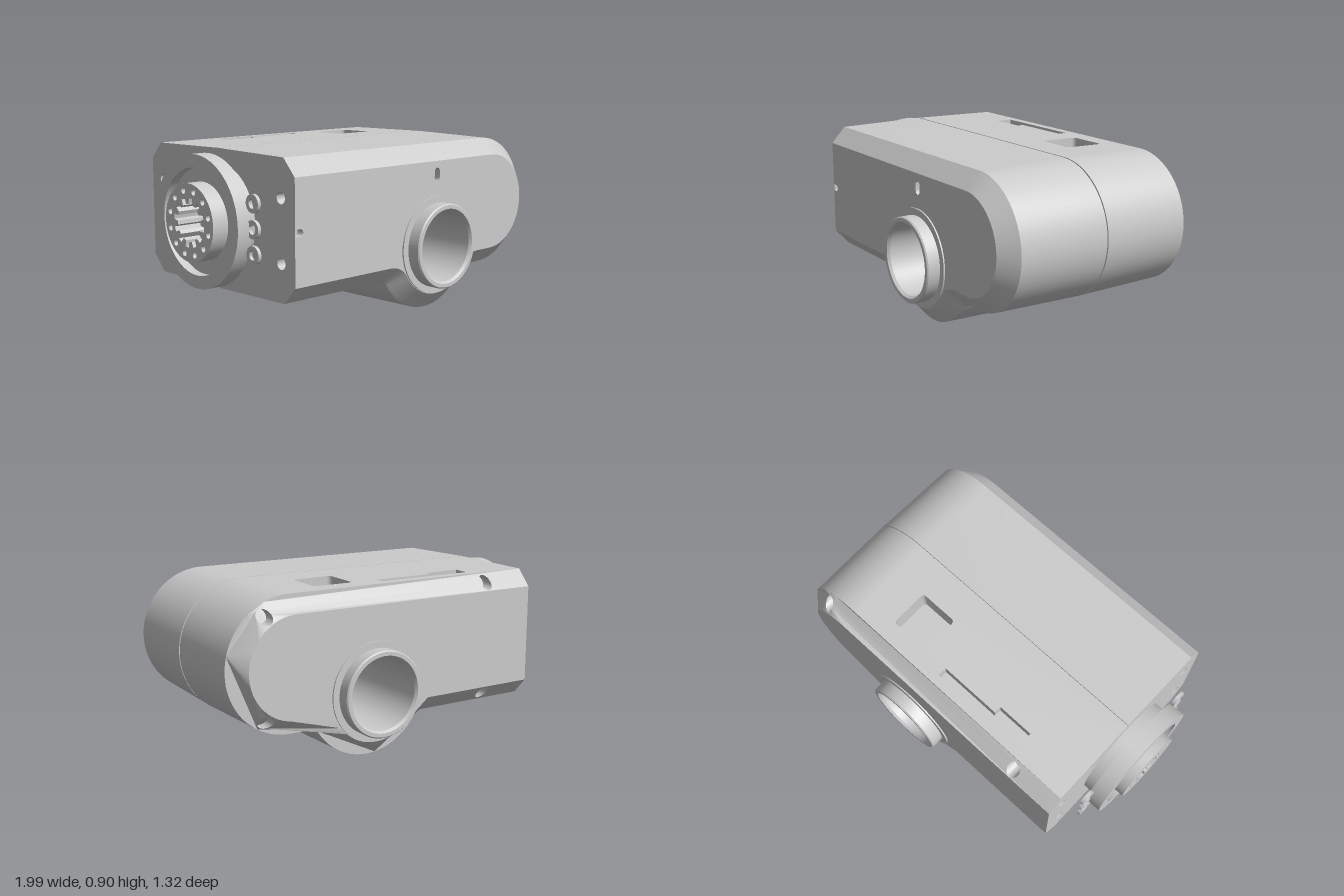
import * as THREE from 'three';
import { toCreasedNormals } from 'three/addons/utils/BufferGeometryUtils.js';

const material = new THREE.MeshStandardMaterial({ color: 0xcccccc, side: THREE.DoubleSide });
const V2 = (x, y) => new THREE.Vector2(x, y);
const LEFT = -0.815, INSET = 0.095, DRAFT = 0.008;
const AXIS_Y = 0.548, END_X = 0.635, END_R = 0.358;
const BORE = V2(0.18, 0.365);

function part(name, geometry) {
  const mesh = new THREE.Mesh(toCreasedNormals(geometry, 0.5), material);
  mesh.name = name;
  return mesh;
}

function fromTriangles(list) {
  const g = new THREE.BufferGeometry();
  g.setAttribute('position', new THREE.Float32BufferAttribute(list, 3));
  return g;
}

function arc(cx, cy, r, from, to, n, skipFirst = false) {
  const pts = [];
  for (let i = skipFirst ? 1 : 0; i <= n; i++) {
    const a = from + (to - from) * i / n;
    pts.push(V2(cx + r * Math.cos(a), cy + r * Math.sin(a)));
  }
  return pts;
}
const circle = (x, y, r, n = 24) => arc(x, y, r, 0, Math.PI * 2, n).slice(0, n);
const rect = (x0, y0, x1, y1) => [V2(x0, y0), V2(x1, y0), V2(x1, y1), V2(x0, y1)];

// Housing outline moved inwards by d, from lower left round to upper left
function outline(d) {
  const bossR = 0.36, f = 0.05, fy = 0.14, H = Math.PI / 2;
  const dx = Math.sqrt((bossR + f) ** 2 - (BORE.y - fy) ** 2);
  const a = Math.atan2(BORE.y - fy, dx);
  return [
    V2(LEFT, 0.19 + d),
    ...arc(BORE.x - dx, fy, f + d, H, a, 8),
    ...arc(BORE.x, BORE.y, bossR - d, Math.PI + a, 2 * Math.PI - a, 32, true),
    ...arc(BORE.x + dx, fy, f + d, Math.PI - a, H, 8, true),
    ...arc(END_X, AXIS_Y, END_R - d, -H, H, 40),
    V2(LEFT, 0.906 - d),
  ];
}

// Flat or mapped panel with pockets; map(u, v, depth) gives the 3D point
function panel(name, contour, holes, map, flip = false) {
  const out = [];
  const tri = (a, b, c) => (flip ? [a, c, b] : [a, b, c]).forEach(p => out.push(...p));
  const fill = (c, hs, w) => {
    const all = [c, ...hs].flat();
    THREE.ShapeUtils.triangulateShape(c, hs).forEach(t =>
      tri(...t.map(i => map(all[i].x, all[i].y, w))));
  };
  fill(contour, holes.map(h => h.pts), 0);
  for (const { pts, depth } of holes) {
    if (!depth) continue;
    pts.forEach((p, i) => {
      const q = pts[(i + 1) % pts.length];
      const a0 = map(p.x, p.y, 0), a1 = map(p.x, p.y, depth);
      const b0 = map(q.x, q.y, 0), b1 = map(q.x, q.y, depth);
      tri(a0, b0, a1);
      tri(b0, b1, a1);
    });
    fill(pts, [], depth);
  }
  return part(name, fromTriangles(out));
}

// Side wall lofted through outlines, with a fine seam groove at the middle
function sideWall() {
  const levels = [[0.58, INSET], [0.5, DRAFT], [0.004, 0], [0.004, 0.008],
    [-0.004, 0.008], [-0.004, 0], [-0.5, DRAFT]];
  const out = [];
  for (let k = 0; k < levels.length - 1; k++) {
    const [z0, d0] = levels[k], [z1, d1] = levels[k + 1];
    const A = outline(d0), B = outline(d1);
    const last = k === levels.length - 2 ? 2 : 1; // rear top is a separate panel
    for (let i = 0; i < A.length - last; i++) {
      const a = [A[i].x, A[i].y, z0], b = [A[i + 1].x, A[i + 1].y, z0];
      const c = [B[i].x, B[i].y, z1], e = [B[i + 1].x, B[i + 1].y, z1];
      out.push(...a, ...c, ...e, ...a, ...e, ...b);
    }
  }
  return part('housingWall', fromTriangles(out));
}

function lathe(name, points, n = 64) {
  return part(name, new THREE.LatheGeometry(points.map(p => V2(...p)), n));
}

export function createModel() {
  const model = new THREE.Group();
  const housing = new THREE.Group();
  housing.name = 'housing';
  model.add(housing);
  housing.add(sideWall());

  // Front and rear faces
  const boreHole = { pts: circle(BORE.x, BORE.y, 0.21, 48), depth: 0 };
  const slots = [
    { pts: [...arc(0.18, 0.755, 0.02, 0, Math.PI, 8), ...arc(0.18, 0.72, 0.02, Math.PI, 2 * Math.PI, 8)], depth: 0.04 },
    { pts: [...arc(-0.782, AXIS_Y, 0.018, -Math.PI / 2, Math.PI / 2, 8), V2(-0.812, 0.566), V2(-0.812, 0.53)], depth: 0.04 },
  ];
  housing.add(panel('frontFace', outline(INSET), [boreHole, ...slots], (u, v, w) => [u, v, 0.58 - w]));
  housing.add(panel('rearFace', outline(INSET), [boreHole], (u, v, w) => [u, v, w - 0.58], true));

  // Rear chamfer with four screw recesses
  const edgeDepth = (x, y) => {
    if (x > END_X) return END_R - Math.hypot(x - END_X, y - AXIS_Y);
    return END_R - Math.abs(y - AXIS_Y);
  };
  const outer = outline(DRAFT), inner = outline(INSET);
  const heights = new Map();
  const key = (x, y) => x.toFixed(6) + ',' + y.toFixed(6);
  outer.forEach(p => heights.set(key(p.x, p.y), 0.5));
  inner.forEach(p => heights.set(key(p.x, p.y), 0.58));
  const chamferZ = (x, y) => heights.get(key(x, y))
    ?? 0.5 + 0.08 * (edgeDepth(x, y) - DRAFT) / (INSET - DRAFT);
  const screws = [];
  for (const s of [-1, 1]) {
    screws.push({ pts: circle(-0.54, AXIS_Y + s * 0.303, 0.036), depth: 0.07 });
    screws.push({ pts: circle(0.793, AXIS_Y + s * 0.258, 0.036), depth: 0.07 });
  }
  housing.add(panel('rearChamfer', [...outer, ...inner.reverse()], screws,
    (u, v, w) => [u, v, w - chamferZ(u, v)], true));

  // Rear half of the top with a stepped slot and a square window
  const windows = [
    { pts: [V2(-0.485, 0.36), V2(-0.28, 0.36), V2(-0.28, 0.4), V2(0.065, 0.4), V2(0.065, 0.45), V2(-0.485, 0.45)], depth: 0.06 },
    { pts: [
      ...arc(0.415, 0.205, 0.02, -Math.PI / 2, 0, 4), ...arc(0.415, 0.38, 0.02, 0, Math.PI / 2, 4),
      ...arc(0.23, 0.38, 0.02, Math.PI / 2, Math.PI, 4), ...arc(0.23, 0.205, 0.02, Math.PI, Math.PI * 1.5, 4),
    ], depth: 0.12 },
  ];
  housing.add(panel('rearTop', rect(LEFT, 0.004, END_X, 0.5), windows,
    (u, v, w) => [u, 0.906 - DRAFT * v / 0.5 - w, -v]));

  // Flat end face with screw holes
  const end = [[-0.58, 0.285], [-0.5, 0.198], [0, 0.19], [0.5, 0.198], [0.58, 0.285],
    [0.58, 0.811], [0.5, 0.898], [0, 0.906], [-0.5, 0.898], [-0.58, 0.811]].map(p => V2(...p));
  const endHoles = [];
  for (const z of [-0.48, 0.48]) for (const y of [0.39, 0.705])
    endHoles.push({ pts: circle(z, y, 0.03), depth: 0.06 });
  housing.add(panel('endFace', end, endHoles, (u, v, w) => [LEFT + w, v, u]));

  // Through tube with raised collars on both sides
  const tube = lathe('boreTube', [
    [0.19, -0.645], [0.2, -0.66], [0.22, -0.66], [0.226, -0.653], [0.226, -0.588], [0.262, -0.588],
    [0.262, -0.575], [0.21, -0.575], [0.21, 0.575], [0.262, 0.575],
    [0.262, 0.588], [0.226, 0.588], [0.226, 0.653], [0.22, 0.66], [0.2, 0.66], [0.19, 0.645], [0.19, -0.645],
  ]);
  tube.rotation.x = Math.PI / 2;
  tube.position.set(BORE.x, BORE.y, 0);
  model.add(tube);

  // Output flange on the flat end
  const coupling = new THREE.Group();
  coupling.name = 'outputCoupling';
  coupling.position.y = AXIS_Y;
  model.add(coupling);
  const flange = lathe('flange', [
    [0.288, 0.81], [0.288, 0.875], [0.337, 0.875], [0.337, 0.96], [0.27, 0.96],
    [0.27, 0.91], [0.18, 0.91], [0.18, 0.84], [0, 0.84],
  ]);
  flange.rotation.z = Math.PI / 2;
  coupling.add(flange);

  // Splined hub with a ring of screw holes
  const hubShape = new THREE.Shape(circle(0, 0, 0.197, 64));
  const teeth = 12, spline = [];
  for (let i = 0; i < teeth; i++) {
    [[0, 0.095], [0.4, 0.095], [0.5, 0.125], [0.9, 0.125]].forEach(([t, r]) => {
      const a = (i + t) / teeth * Math.PI * 2;
      spline.push(V2(r * Math.cos(a), r * Math.sin(a)));
    });
    const a = (i + 0.5) / teeth * Math.PI * 2;
    hubShape.holes.push(new THREE.Path(circle(0.162 * Math.cos(a), 0.162 * Math.sin(a), 0.016, 12)));
  }
  hubShape.holes.push(new THREE.Path(spline));
  const hub = part('splinedHub', new THREE.ExtrudeGeometry(hubShape, { depth: 0.16, bevelEnabled: false }));
  hub.rotation.y = -Math.PI / 2;
  hub.position.x = -0.84;
  coupling.add(hub);

  // Small washers beside the flange
  for (const z of [-0.36, 0.36]) for (const y of [-0.125, 0, 0.125]) {
    const washer = lathe('washer', [[0.024, 0.875], [0.046, 0.875], [0.046, 0.893], [0.024, 0.893], [0.024, 0.875]], 24);
    washer.rotation.z = Math.PI / 2;
    washer.position.set(0, y, z);
    coupling.add(washer);
  }
  return model;
}
